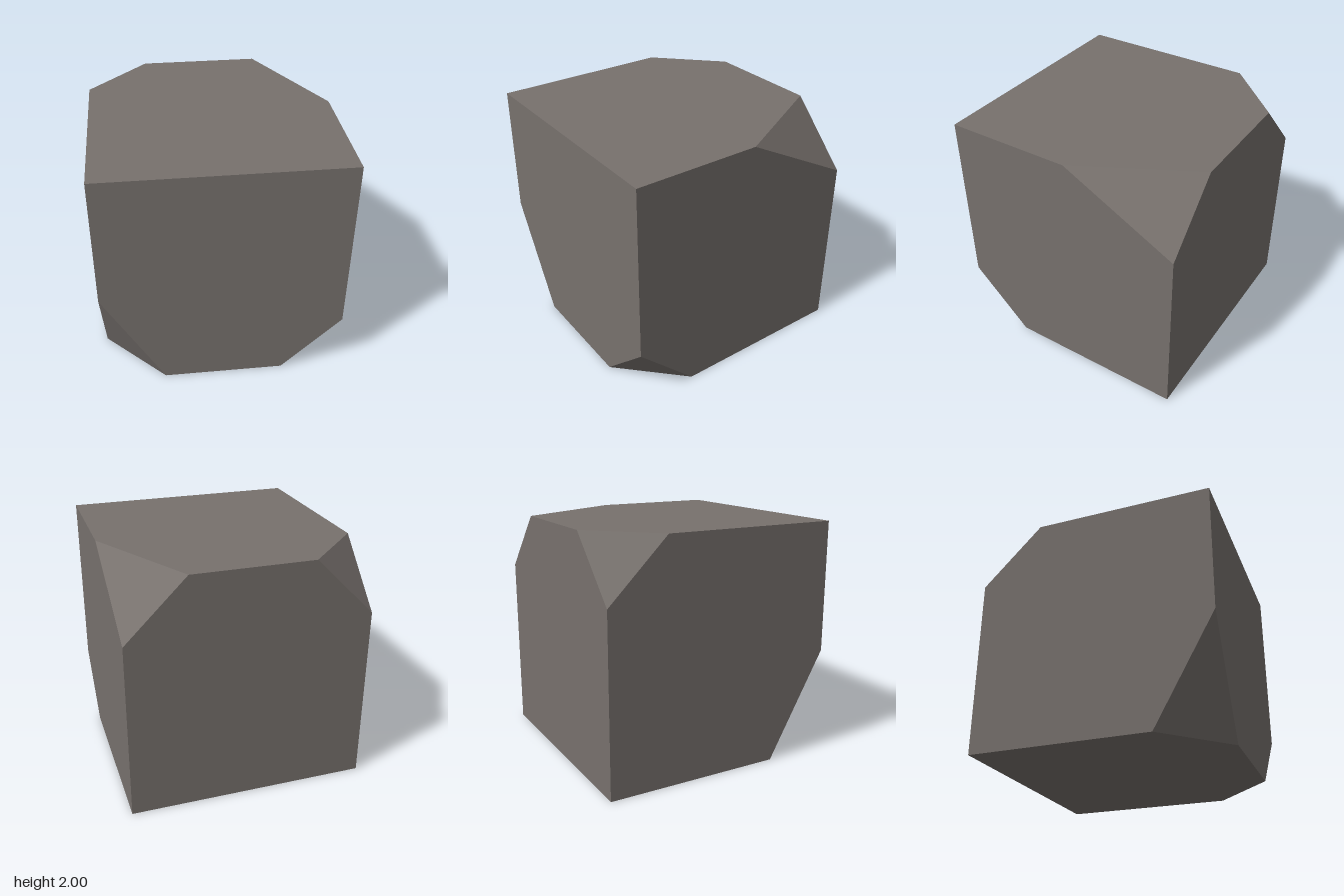
import * as THREE from 'three';
import { ConvexGeometry } from 'three/addons/geometries/ConvexGeometry.js';

export function createModel() {
  const group = new THREE.Group();
  group.name = 'chippedBlock';
  const stone = new THREE.MeshStandardMaterial({ color: 0x77716d });
  stone.name = 'warm grey stone';

  // Cube corners, each with the lengths cut off along x, y and z (none = sharp)
  const corners = [
    { at: [-1, 0, 1], cut: [0.5, 0.9, 0.5] },
    { at: [1, 0, 1], cut: [0.5, 0.5, 0.5] },
    { at: [-1, 2, -1], cut: [0.5, 0.5, 0.5] },
    { at: [1, 2, -1], cut: [0.5, 0.5, 0.945] },
    { at: [-1, 0, -1] },
    { at: [1, 0, -1] },
    { at: [-1, 2, 1] },
    { at: [1, 2, 1] },
  ];

  // A cut corner is replaced by one point on each of its three edges
  const points = [];
  for (const { at, cut } of corners) {
    if (!cut) {
      points.push(new THREE.Vector3(...at));
      continue;
    }
    const inward = [-Math.sign(at[0]), at[1] > 1 ? -1 : 1, -Math.sign(at[2])];
    for (let axis = 0; axis < 3; axis++) {
      const p = [...at];
      p[axis] += inward[axis] * cut[axis];
      points.push(new THREE.Vector3(...p));
    }
  }

  const block = new THREE.Mesh(new ConvexGeometry(points), stone);
  block.name = 'block';
  group.add(block);
  return group;
}
